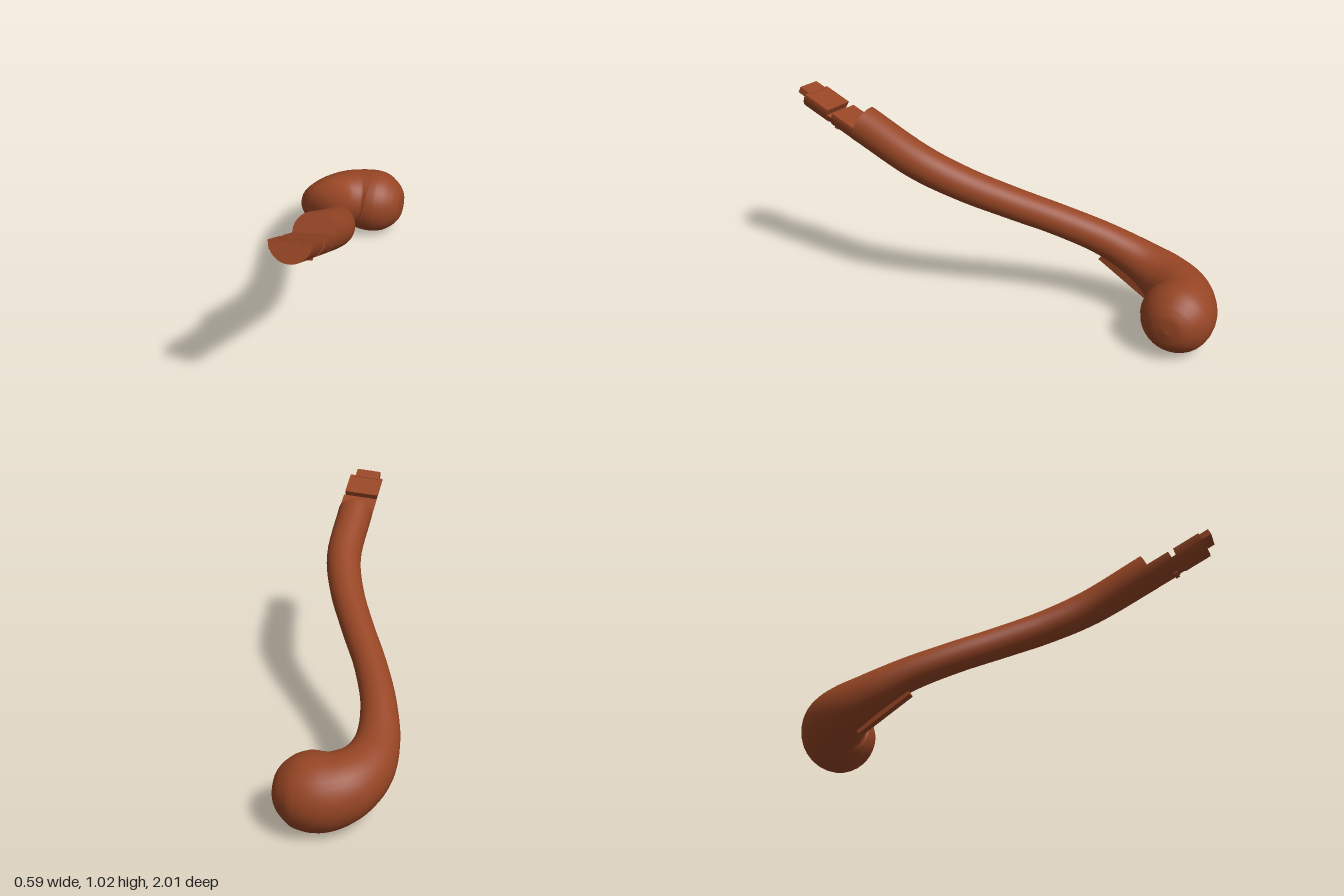
import * as THREE from 'three';
import { toCreasedNormals } from 'three/addons/utils/BufferGeometryUtils.js';

// Centre line of the handle with its radius: x, y, z, r
const STATIONS = [
  [0.207, 0.879, 0.695, 0.088], [0.195, 0.738, 0.4, 0.085], [0.13, 0.64, 0.2, 0.08],
  [0.03, 0.545, 0, 0.076], [-0.08, 0.45, -0.2, 0.075], [-0.162, 0.358, -0.4, 0.081],
  [-0.192, 0.275, -0.57, 0.099], [-0.168, 0.222, -0.7, 0.127], [-0.1, 0.19, -0.79, 0.152],
  [-0.02, 0.172, -0.825, 0.168], [0.05, 0.17, -0.83, 0.166], [0.1, 0.17, -0.83, 0.148],
  [0.15, 0.17, -0.83, 0.108], [0.175, 0.17, -0.83, 0.068], [0.186, 0.17, -0.83, 0.001],
];

// Round sections of changing radius swept along the centre line
function sweptBody(stations, rings = 84, sides = 32) {
  const path = new THREE.CatmullRomCurve3(stations.map(([x, y, z]) => new THREE.Vector3(x, y, z)));
  const radii = new THREE.CatmullRomCurve3(stations.map((s, i) => new THREE.Vector3(s[3], i * 0.1, 0)));
  const pos = [], index = [];
  const world = new THREE.Vector3(0, 1, 0);
  for (let i = 0; i <= rings; i++) {
    const t = i / rings;
    const c = path.getPoint(t);
    const r = Math.max(radii.getPoint(t).x, 0.001);
    const dir = path.getTangent(t);
    const side = new THREE.Vector3().crossVectors(world, dir).normalize();
    const up = new THREE.Vector3().crossVectors(dir, side);
    for (let j = 0; j < sides; j++) {
      const a = (j / sides) * Math.PI * 2;
      const p = c.clone().addScaledVector(side, r * Math.cos(a)).addScaledVector(up, r * Math.sin(a));
      pos.push(p.x, p.y, p.z);
      if (i < rings) {
        const k = (j + 1) % sides, m = i * sides, n = m + sides;
        index.push(m + j, m + k, n + j, m + k, n + k, n + j);
      }
    }
  }
  // flat shoulder at the open end
  const start = stations[0];
  pos.push(start[0], start[1], start[2]);
  const hub = pos.length / 3 - 1;
  for (let j = 0; j < sides; j++) index.push(hub, (j + 1) % sides, j);
  const g = new THREE.BufferGeometry();
  g.setAttribute('position', new THREE.Float32BufferAttribute(pos, 3));
  g.setIndex(index);
  return toCreasedNormals(g, 0.8);
}

// Lower part of a round bar, cut flat at height top
function halfBar(radius, top, z0, z1) {
  const a = Math.asin(top / radius);
  const shape = new THREE.Shape();
  shape.absarc(0, 0, radius, Math.PI - a, Math.PI * 2 + a, false);
  shape.closePath();
  const g = new THREE.ExtrudeGeometry(shape, { depth: z1 - z0, bevelEnabled: false, curveSegments: 20 });
  g.translate(0, 0, z0);
  return toCreasedNormals(g, 0.6);
}

export function createModel() {
  const model = new THREE.Group();
  model.name = 'knobHandle';
  const wood = new THREE.MeshStandardMaterial({ color: 0x964524 });
  wood.name = 'reddish brown';
  const add = (parent, name, geometry, x = 0, y = 0, z = 0) => {
    const mesh = new THREE.Mesh(geometry, wood);
    mesh.name = name;
    mesh.position.set(x, y, z);
    parent.add(mesh);
    return mesh;
  };

  add(model, 'shaftAndKnob', sweptBody(STATIONS));

  // Flat joint at the upper end
  const joint = new THREE.Group();
  joint.name = 'joint';
  joint.position.set(0.207, 0.879, 0.695);
  joint.rotation.set(THREE.MathUtils.degToRad(-24.8), 0, THREE.MathUtils.degToRad(6));
  model.add(joint);
  add(joint, 'jointInner', halfBar(0.087, 0, -0.01, 0.118));
  add(joint, 'jointGroove', halfBar(0.083, -0.03, 0.118, 0.146));
  add(joint, 'jointOuter', halfBar(0.087, 0, 0.146, 0.282));
  add(joint, 'tongue', new THREE.BoxGeometry(0.125, 0.03, 0.06), -0.003, -0.013, 0.302);
  add(joint, 'undersideCatch', new THREE.BoxGeometry(0.058, 0.03, 0.02), 0, -0.076, 0.1);

  // Narrow rib under the bend
  const rib = add(model, 'undersideRib', new THREE.BoxGeometry(0.034, 0.06, 0.3), -0.153, 0.205, -0.515);
  rib.rotation.x = THREE.MathUtils.degToRad(-32);

  return model;
}
